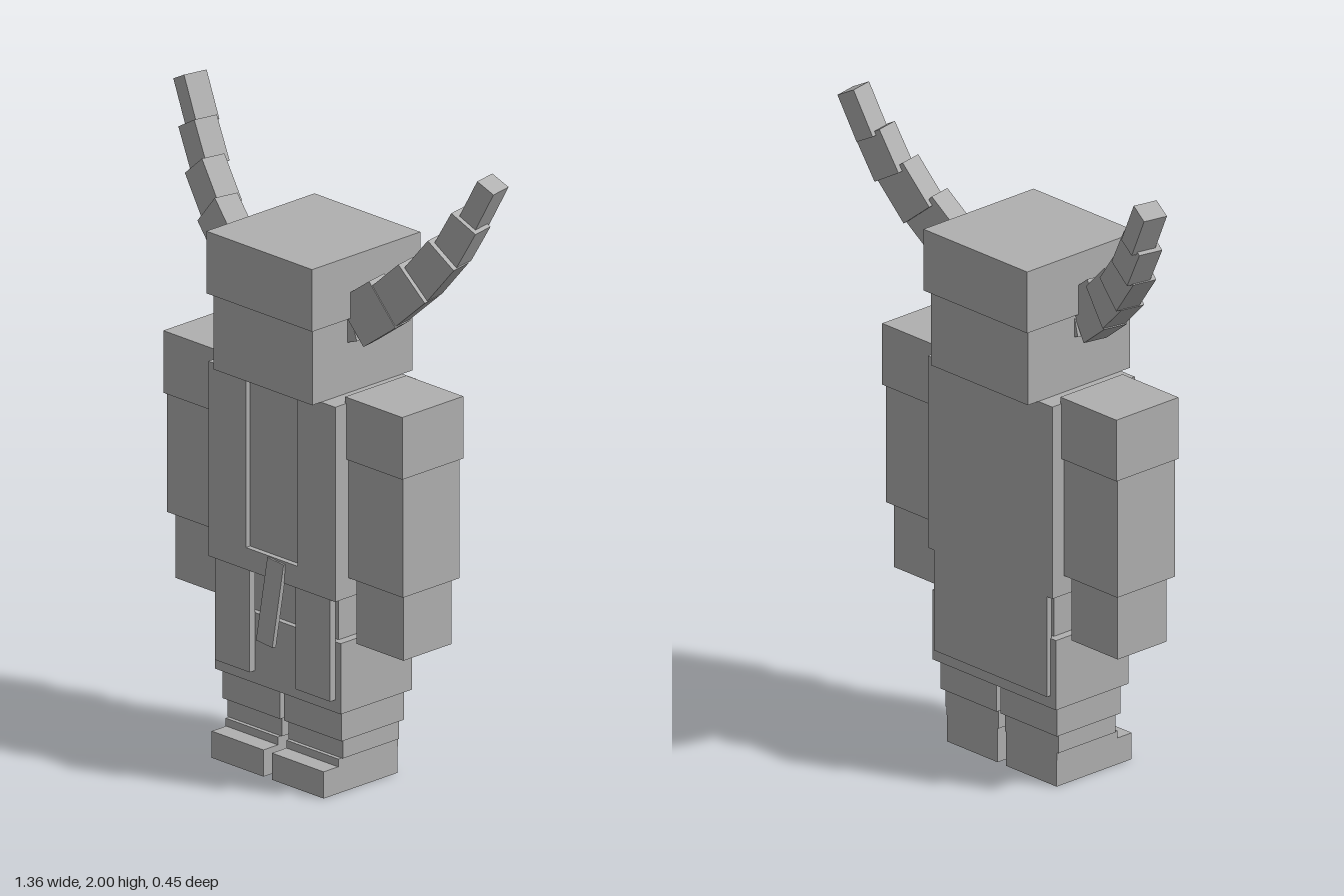
import * as THREE from 'three';

const grey = new THREE.MeshStandardMaterial({ color: 0xb0b0b0 });
grey.name = 'plain grey';

// Box given by its lower and upper corner
function block(parent, name, [x0, y0, z0], [x1, y1, z1]) {
  const mesh = new THREE.Mesh(new THREE.BoxGeometry(x1 - x0, y1 - y0, z1 - z0), grey);
  mesh.position.set((x0 + x1) / 2, (y0 + y1) / 2, (z0 + z1) / 2);
  mesh.name = name;
  parent.add(mesh);
  return mesh;
}

// Pair of boxes mirrored across x = 0
function pair(parent, name, [x0, y0, z0], [x1, y1, z1]) {
  block(parent, name + 'Left', [x0, y0, z0], [x1, y1, z1]);
  block(parent, name + 'Right', [-x1, y0, z0], [-x0, y1, z1]);
}

// Horn segment from base to tip in the front plane, swept back by a yaw
function hornSegment(parent, side, [bx, by], [tx, ty], z, width) {
  const length = Math.hypot(tx - bx, ty - by);
  const mesh = new THREE.Mesh(new THREE.BoxGeometry(width, length, 0.08), grey);
  mesh.position.set(side * (bx + tx) / 2, (by + ty) / 2, z);
  mesh.rotation.order = 'YZX';
  mesh.rotation.set(0, side * 0.2, -side * Math.atan2(tx - bx, ty - by));
  mesh.name = 'hornSegment';
  parent.add(mesh);
}

export function createModel() {
  const model = new THREE.Group();
  model.name = 'hornedFigure';

  // Head and cap
  block(model, 'face', [-0.21, 1.25, -0.208], [0.21, 1.492, 0.21]);
  block(model, 'cap', [-0.225, 1.492, -0.225], [0.225, 1.69, 0.225]);

  // Horns
  for (const side of [1, -1]) {
    const horn = new THREE.Group();
    horn.name = side > 0 ? 'hornLeft' : 'hornRight';
    hornSegment(horn, side, [0.13, 1.43], [0.225, 1.46], 0.03, 0.08);
    hornSegment(horn, side, [0.215, 1.475], [0.33, 1.56], 0.015, 0.16);
    hornSegment(horn, side, [0.325, 1.55], [0.43, 1.647], -0.01, 0.14);
    hornSegment(horn, side, [0.422, 1.632], [0.519, 1.752], -0.045, 0.12);
    hornSegment(horn, side, [0.512, 1.738], [0.582, 1.862], -0.08, 0.1);
    hornSegment(horn, side, [0.575, 1.85], [0.645, 1.985], -0.11, 0.066);
    model.add(horn);
  }

  // Torso, with the open coat forming a raised U on its front
  block(model, 'torso', [-0.27, 0.63, -0.165], [0.27, 1.25, 0.155]);
  pair(model, 'coatFront', [0.11, 0.7, 0.155], [0.27, 1.25, 0.173]);
  block(model, 'coatWaist', [-0.27, 0.63, 0.155], [0.27, 0.7, 0.173]);
  pair(model, 'coatTailFront', [0.097, 0.305, 0.148], [0.245, 0.63, 0.17]);
  block(model, 'coatTailBack', [-0.245, 0.305, -0.163], [0.245, 0.63, -0.145]);

  // Hanging belt end
  const belt = block(model, 'beltEnd', [-0.023, 0.43, 0.178], [0.047, 0.695, 0.193]);
  belt.rotation.set(-0.1, 0, -0.08);

  // Hips and trousers
  block(model, 'hips', [-0.24, 0.49, -0.13], [0.24, 0.63, 0.13]);
  block(model, 'trousers', [-0.268, 0.265, -0.148], [0.268, 0.49, 0.148]);

  // Legs and shoes
  pair(model, 'leg', [0.008, 0.17, -0.13], [0.253, 0.265, 0.13]);
  pair(model, 'ankle', [0.014, 0.11, -0.117], [0.245, 0.17, 0.117]);
  pair(model, 'shoeCollar', [0.018, 0.085, -0.117], [0.24, 0.11, 0.13]);
  pair(model, 'shoe', [0.018, 0, -0.117], [0.238, 0.085, 0.19]);

  // Arms
  pair(model, 'shoulder', [0.265, 1.072, -0.127], [0.508, 1.27, 0.127]);
  pair(model, 'sleeve', [0.27, 0.692, -0.118], [0.502, 1.072, 0.118]);
  pair(model, 'hand', [0.285, 0.482, -0.1], [0.485, 0.692, 0.1]);

  return model;
}
